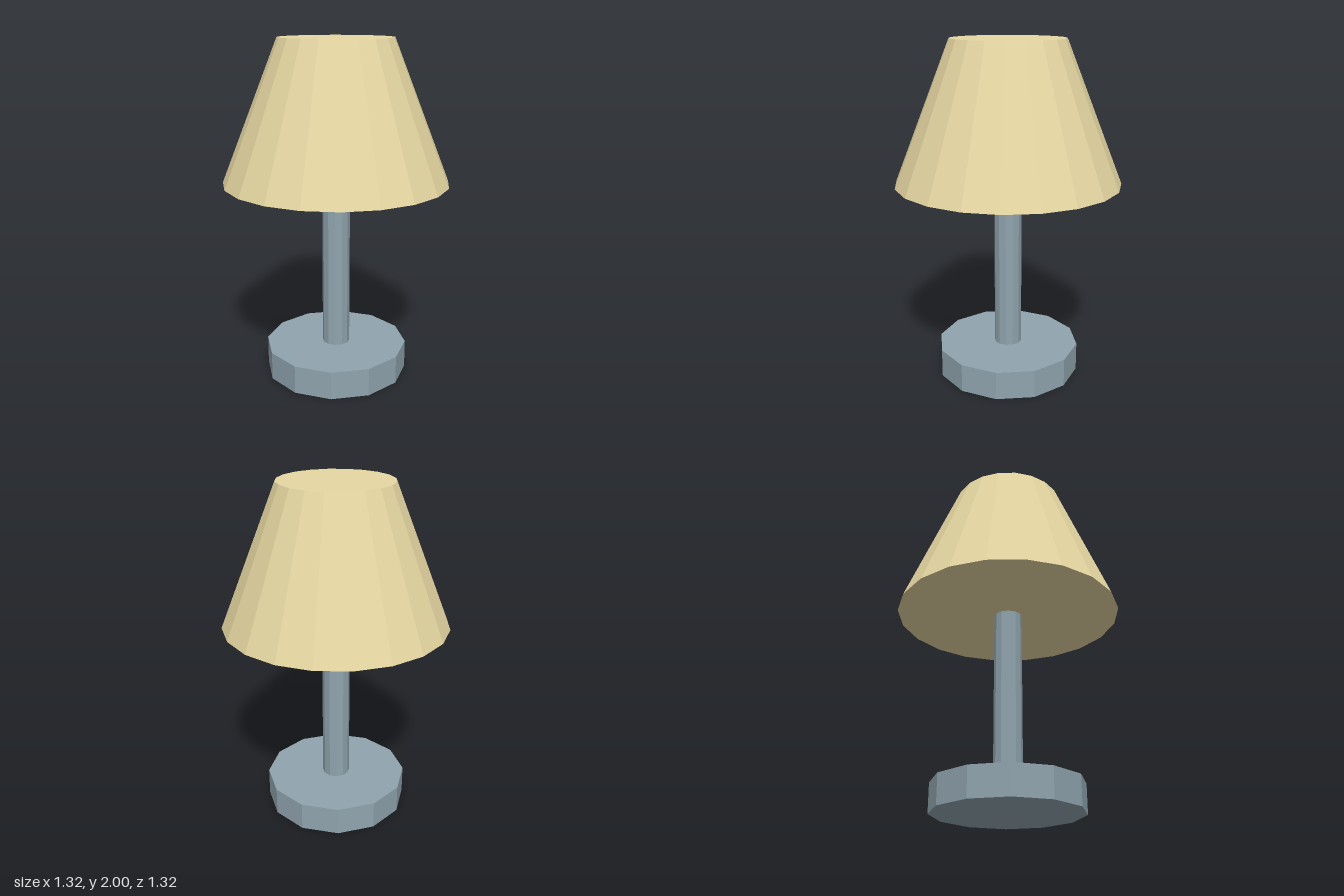
import * as THREE from 'three';

export function createModel() {
  const metal = new THREE.MeshStandardMaterial({ color: 0x90a4ae });
  metal.name = 'blue grey metal';
  const fabric = new THREE.MeshStandardMaterial({ color: 0xe6d7a2 });
  fabric.name = 'cream fabric';

  const lamp = new THREE.Group();
  lamp.name = 'tableLamp';

  // Faceted, capped cylinder spanning y0 to y1
  function addPart(name, rTop, rBottom, y0, y1, sides, material) {
    const smooth = new THREE.CylinderGeometry(rTop, rBottom, y1 - y0, sides);
    const geometry = smooth.toNonIndexed();
    geometry.computeVertexNormals(); // one normal per facet
    const mesh = new THREE.Mesh(geometry, material);
    mesh.name = name;
    mesh.position.y = (y0 + y1) / 2;
    lamp.add(mesh);
  }

  addPart('base', 0.427, 0.427, 0, 0.169, 12, metal);
  addPart('stem', 0.082, 0.082, 0.169, 1.18, 12, metal);
  addPart('shade', 0.329, 0.658, 1.18, 2, 20, fabric);

  return lamp;
}
